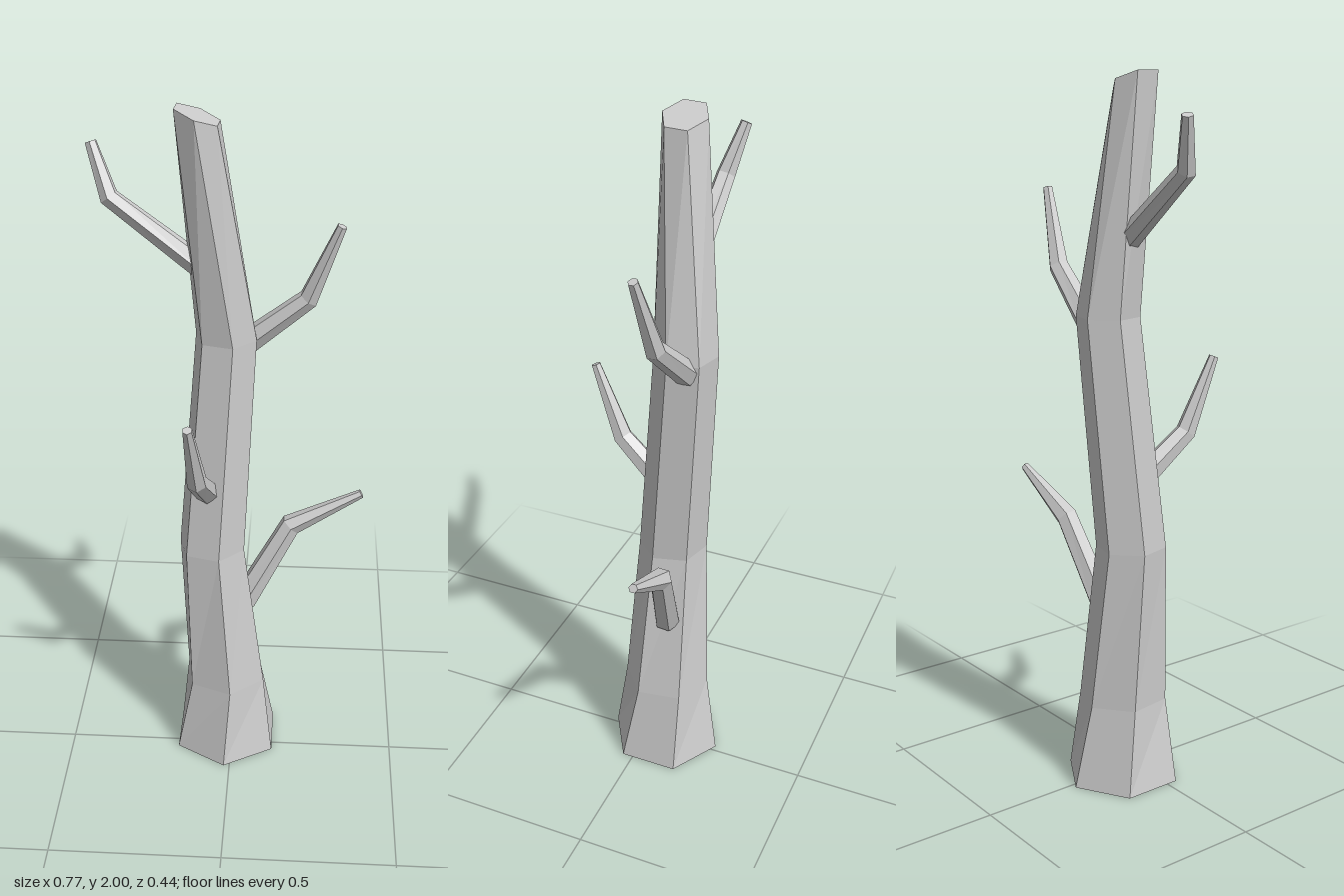
import * as THREE from 'three';

const SIDES = 6;
const V = (x, y, z) => new THREE.Vector3(x, y, z);

// Skin a list of six-point rings, closing the last one with a flat cap
function skin(rings, name) {
  const pos = [], idx = [];
  rings.forEach(ring => ring.forEach(p => pos.push(p.x, p.y, p.z)));
  for (let r = 0; r < rings.length - 1; r++) {
    for (let i = 0; i < SIDES; i++) {
      const a = r * SIDES + i, b = r * SIDES + (i + 1) % SIDES;
      idx.push(a, b, b + SIDES, a, b + SIDES, a + SIDES);
    }
  }
  const top = (rings.length - 1) * SIDES;
  for (let i = 1; i < SIDES - 1; i++) idx.push(top, top + i, top + i + 1);

  const geo = new THREE.BufferGeometry();
  geo.setAttribute('position', new THREE.Float32BufferAttribute(pos, 3));
  geo.setIndex(idx);
  geo.computeVertexNormals();
  const mesh = new THREE.Mesh(geo, new THREE.MeshStandardMaterial({
    color: 0xcccccc, flatShading: true, side: THREE.DoubleSide,
  }));
  mesh.name = name;
  return mesh;
}

// Level trunk ring: twist turns it about y, slope tilts it along x
function trunkRing([x, y, z, radius, twist, slope = 0]) {
  return Array.from({ length: SIDES }, (_, i) => {
    const a = THREE.MathUtils.degToRad(twist) + i * Math.PI * 2 / SIDES;
    const dx = Math.sin(a) * radius;
    return V(x + dx, y + slope * dx, z + Math.cos(a) * radius);
  });
}

// Bent, tapering branch with rings square to its path
function branch(name, points, radii) {
  const rings = points.map((p, k) => {
    const dir = V(0, 0, 0);
    if (k > 0) dir.add(p.clone().sub(points[k - 1]).normalize());
    if (k < points.length - 1) dir.add(points[k + 1].clone().sub(p).normalize());
    dir.normalize();
    const turn = new THREE.Quaternion().setFromUnitVectors(V(0, 1, 0), dir);
    return Array.from({ length: SIDES }, (_, i) => {
      const a = i * Math.PI * 2 / SIDES;
      return V(Math.sin(a), 0, Math.cos(a)).multiplyScalar(radii[k])
        .applyQuaternion(turn).add(p);
    });
  });
  return skin(rings, name);
}

export function createModel() {
  const tree = new THREE.Group();
  tree.name = 'bareTree';

  // Trunk, open underneath, with a slanted cut at the top
  tree.add(skin([
    [-0.018, 0, -0.053, 0.169, 0],
    [-0.02, 0.245, -0.053, 0.127, 9],
    [-0.06, 0.71, -0.053, 0.099, 15],
    [-0.02, 1.36, -0.1, 0.088, 15],
    [-0.09, 1.98, -0.06, 0.064, -3, -0.36],
  ].map(trunkRing), 'trunk'));

  // Branches: root inside the trunk, elbow, tip
  tree.add(branch('lowerLeftBranch',
    [V(0.035, 0.5, -0.075), V(0.17, 0.75, -0.11), V(0.375, 0.86, -0.118)],
    [0.039, 0.033, 0.013]));
  tree.add(branch('upperLeftBranch',
    [V(0.03, 1.33, -0.122), V(0.203, 1.475, -0.105), V(0.285, 1.688, -0.083)],
    [0.036, 0.029, 0.014]));
  tree.add(branch('upperRightBranch',
    [V(-0.07, 1.555, -0.085), V(-0.325, 1.755, -0.085), V(-0.372, 1.89, -0.122)],
    [0.034, 0.027, 0.016]));
  tree.add(branch('frontBranch',
    [V(-0.07, 0.92, 0), V(-0.088, 1.02, 0.12), V(-0.103, 1.228, 0.208)],
    [0.035, 0.03, 0.014]));

  return tree;
}
